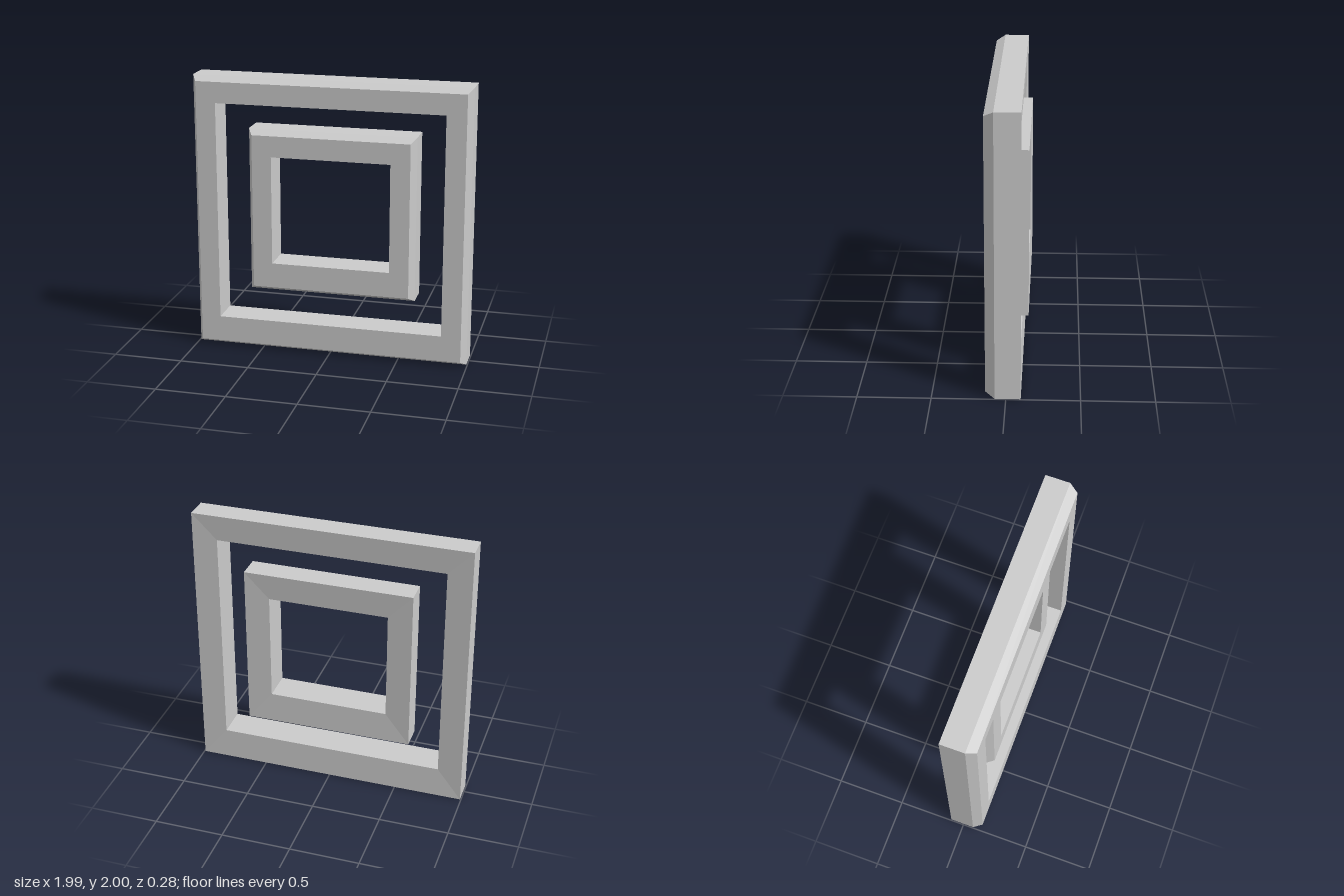
import * as THREE from 'three';

const DEPTH = 0.24, BEVEL = 0.036, BEVEL_DEPTH = 0.065, DISH = 0.01;

// Corners of a rectangle, counter-clockwise from the front
const rect = (halfW, bottom, top, z) => [
  [-halfW, bottom, z], [halfW, bottom, z], [halfW, top, z], [-halfW, top, z],
];

// Mitred square frame: rectangular loops joined around its moulding profile
function frame(name, outer, opening, back) {
  const front = back + DEPTH;
  const loops = [
    rect(outer.w, outer.bottom, outer.top, back),
    rect(outer.w, outer.bottom, outer.top, front - BEVEL_DEPTH),
    rect(outer.w - BEVEL, outer.bottom + BEVEL, outer.top - BEVEL, front),
    rect(opening.w, opening.bottom, opening.top, front),
    rect(opening.w, opening.bottom, opening.top, back + DISH), // back slopes in slightly
  ];
  const positions = [];
  loops.forEach((a, k) => {
    const b = loops[(k + 1) % loops.length];
    for (let i = 0; i < 4; i++) {
      const j = (i + 1) % 4;
      positions.push(...a[i], ...a[j], ...b[j], ...a[i], ...b[j], ...b[i]);
    }
  });
  const geometry = new THREE.BufferGeometry();
  geometry.setAttribute('position', new THREE.Float32BufferAttribute(positions, 3));
  geometry.computeVertexNormals();
  const mesh = new THREE.Mesh(geometry, new THREE.MeshStandardMaterial({ color: 0xcccccc, flatShading: true }));
  mesh.name = name;
  return mesh;
}

export function createModel() {
  const group = new THREE.Group();
  group.name = 'nestedFrames';
  group.add(
    frame('outerFrame', { w: 0.993, bottom: 0, top: 2 }, { w: 0.816, bottom: 0.223, top: 1.814 }, -0.1),
    // Inner frame sits slightly further back
    frame('innerFrame', { w: 0.604, bottom: 0.432, top: 1.625 }, { w: 0.428, bottom: 0.65, top: 1.437 }, -0.142),
  );
  return group;
}
